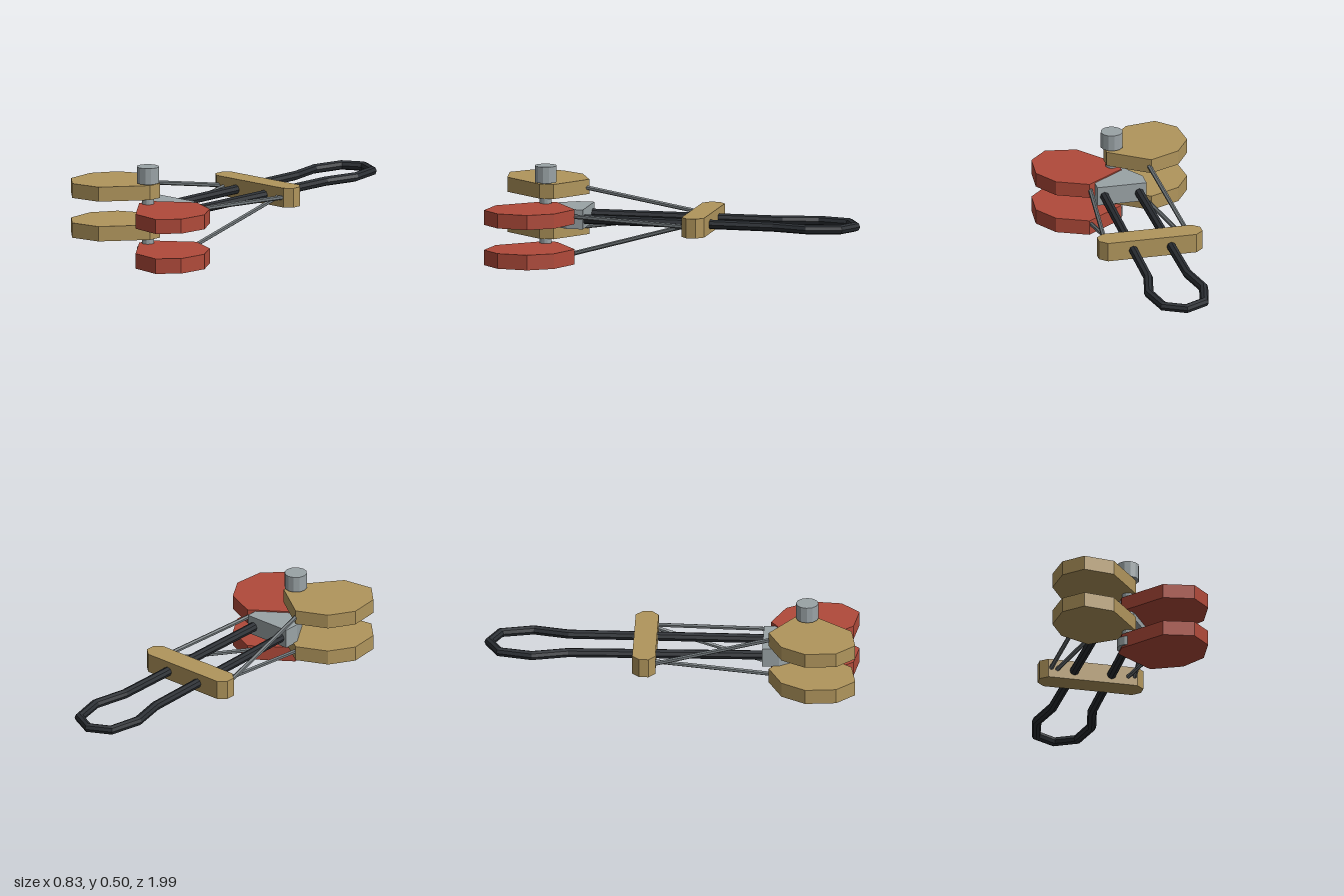
import * as THREE from 'three';

const mat = (color) => new THREE.MeshStandardMaterial({ color, flatShading: true });
const gold = mat(0xb0955c);
const red = mat(0xb04a3a);
const steel = mat(0x9aa3a6);
const wireGrey = mat(0x70777a);
const black = mat(0x2a2e33);

const PIVOT_Z = 0.725;
const ROD_Y = 0.234;

// Flat slab: outline of [x, z] points, extruded from y0 up to y1
function slab(points, y0, y1) {
  const shape = new THREE.Shape(points.map(([x, z]) => new THREE.Vector2(x, -z)));
  const geo = new THREE.ExtrudeGeometry(shape, { depth: y1 - y0, bevelEnabled: false });
  return geo.rotateX(-Math.PI / 2).translate(0, y0, 0);
}

// Straight-sided path whose tube rings sit exactly on its corners
class CornerPath extends THREE.Curve {
  constructor(points) {
    super();
    this.points = points;
  }
  getPointAt(u, target = new THREE.Vector3()) {
    return target.copy(this.points[Math.round(u * (this.points.length - 1))]);
  }
  getPoint(u, target) {
    return this.getPointAt(u, target);
  }
  getTangentAt(u, target = new THREE.Vector3()) {
    const p = this.points;
    const i = Math.round(u * (p.length - 1));
    const back = p[i].clone().sub(p[Math.max(i - 1, 0)]).normalize();
    const ahead = p[Math.min(i + 1, p.length - 1)].clone().sub(p[i]).normalize();
    return target.copy(back).add(ahead).normalize();
  }
}

// Round bar between two points
function bar(a, b, radius, sides) {
  const from = new THREE.Vector3(...a);
  const dir = new THREE.Vector3(...b).sub(from);
  const geo = new THREE.CylinderGeometry(radius, radius, dir.length(), sides);
  const turn = new THREE.Quaternion().setFromUnitVectors(
    new THREE.Vector3(0, 1, 0), dir.clone().normalize());
  return geo.applyQuaternion(turn).translate(...from.addScaledVector(dir, 0.5).toArray());
}

export function createModel() {
  const group = new THREE.Group();
  const add = (name, geometry, material) => {
    const mesh = new THREE.Mesh(geometry, material);
    mesh.name = name;
    group.add(mesh);
  };

  // Four interleaved lobed plates: gold to the right, red to the left
  const lobe = [
    [-0.04, 0.75], [0.135, 0.967], [0.302, 0.993], [0.4, 0.895],
    [0.415, 0.73], [0.335, 0.6], [0.17, 0.526], [-0.04, 0.673],
  ];
  const plates = [
    ['lowerRedPlate', 1, 0, 0.082, red],
    ['lowerGoldPlate', -1, 0.109, 0.19, gold],
    ['upperRedPlate', 1, 0.218, 0.297, red],
    ['upperGoldPlate', -1, 0.326, 0.405, gold],
  ];
  for (const [name, side, y0, y1, material] of plates) {
    add(name, slab(lobe.map(([x, z]) => [x * side, z]), y0, y1), material);
  }

  // Pivot: shaft, knob on top, nut at the bottom
  const round = (name, radius, y0, y1) => add(
    name,
    new THREE.CylinderGeometry(radius, radius, y1 - y0, 12).translate(0, (y0 + y1) / 2, PIVOT_Z),
    steel);
  round('pivotShaft', 0.033, 0.03, 0.43);
  round('pivotKnob', 0.06, 0.412, 0.5);
  round('pivotNut', 0.06, 0.01, 0.06);

  // Block that joins the handle to the pivot, tapering forward
  add('pivotBlock', slab([
    [-0.135, 0.49], [-0.135, 0.58], [-0.03, 0.745],
    [0.03, 0.745], [0.135, 0.58], [0.135, 0.49],
  ], 0.185, 0.29), steel);

  // Looped handle: two rods that meet in a ring at the back
  const half = [[0.095, 0.52], [0.108, -0.55], [0.15, -0.74], [0.112, -0.915]];
  const loop = [
    ...half,
    [0, -0.973],
    ...half.map(([x, z]) => [-x, z]).reverse(),
  ].map(([x, z]) => new THREE.Vector3(x, ROD_Y, z));
  add('handleLoop',
    new THREE.TubeGeometry(new CornerPath(loop), loop.length - 1, 0.0255, 8, false), black);

  // Sliding crossbar with chamfered ends
  add('crossbar', slab([
    [-0.243, -0.2], [-0.284, -0.162], [-0.284, -0.112], [-0.243, -0.077],
    [0.243, -0.077], [0.284, -0.112], [0.284, -0.162], [0.243, -0.2],
  ], 0.185, 0.29), gold);

  // Pull wires from the crossbar to each plate
  const wires = [
    ['upperGoldWire', -1, 0.23, 0.16, 0.365],
    ['lowerGoldWire', -1, 0.195, 0.155, 0.15],
    ['upperRedWire', 1, 0.23, 0.16, 0.258],
    ['lowerRedWire', 1, 0.195, 0.155, 0.05],
  ];
  for (const [name, side, xBack, xFront, yFront] of wires) {
    add(name, bar([side * xBack, 0.237, -0.09], [side * xFront, yFront, 0.56], 0.012, 6), wireGrey);
  }

  return group;
}
